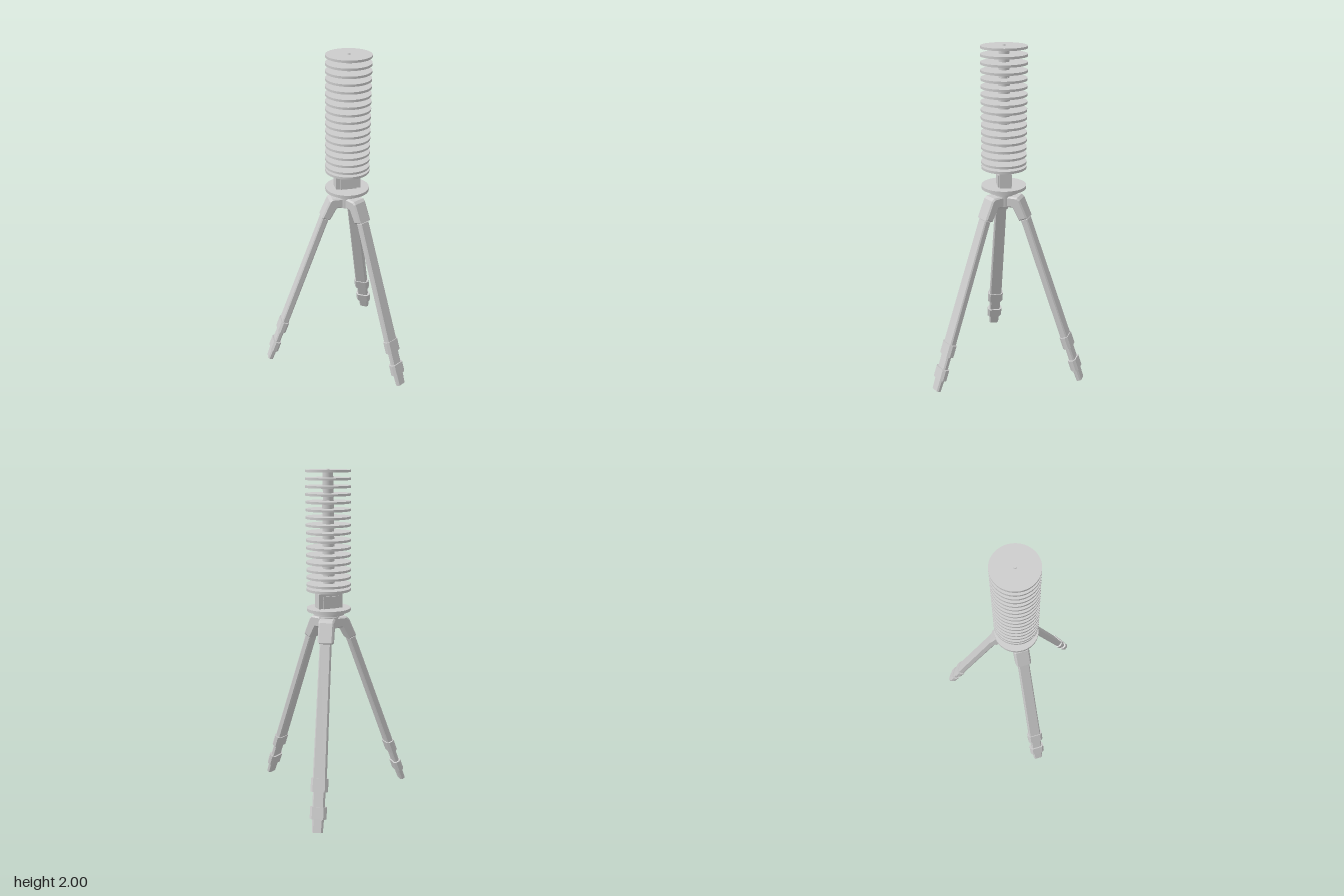
import * as THREE from 'three';

const grey = new THREE.MeshStandardMaterial({ color: 0xcccccc });
const AXIS_X = 0.115; // the mast stands off the origin

function add(parent, name, geometry, y = 0) {
  const mesh = new THREE.Mesh(geometry, grey);
  mesh.name = name;
  mesh.position.y = y;
  parent.add(mesh);
  return mesh;
}

// Upright disc or rod between two heights
function disc(parent, name, radius, y0, y1, sides = 48) {
  return add(parent, name, new THREE.CylinderGeometry(radius, radius, y1 - y0, sides), (y0 + y1) / 2);
}

// Bar with chamfered long edges; rises from y = 0 and may narrow towards the top
function bar(thick, wide, length, chamfer, topThick = 1, topWide = 1) {
  const a = thick / 2, b = wide / 2, c = chamfer;
  const shape = new THREE.Shape([
    [a, -b + c], [a, b - c], [a - c, b], [-a + c, b],
    [-a, b - c], [-a, -b + c], [-a + c, -b], [a - c, -b],
  ].map(([x, y]) => new THREE.Vector2(x, y)));
  const g = new THREE.ExtrudeGeometry(shape, { depth: length, bevelEnabled: false });
  g.rotateX(-Math.PI / 2);
  const p = g.attributes.position;
  for (let i = 0; i < p.count; i++) {
    const t = p.getY(i) / length;
    p.setX(i, p.getX(i) * (1 + (topThick - 1) * t));
    p.setZ(i, p.getZ(i) * (1 + (topWide - 1) * t));
  }
  g.computeVertexNormals();
  return g;
}

// One leg pointing along local +x
function makeLeg() {
  const leg = new THREE.Group();
  leg.name = 'leg';

  // Bent knuckle joining the leg to the hub
  const profile = new THREE.Shape([
    [0.02, 1.08], [0.07, 1.08], [0.112, 1.004], [0.162, 1.024],
    [0.114, 1.132], [0.098, 1.145], [0.02, 1.145],
  ].map(([x, y]) => new THREE.Vector2(x, y)));
  const knuckle = new THREE.ExtrudeGeometry(profile, {
    depth: 0.074, bevelThickness: 0.009, bevelSize: 0.008, bevelOffset: -0.008, bevelSegments: 1,
  });
  knuckle.translate(0, 0, -0.037);
  add(leg, 'knuckle', knuckle);

  // Sloping telescopic tube with two clamps and a foot
  const slope = new THREE.Group();
  slope.name = 'legTubes';
  slope.position.set(0.508, 0.006, 0);
  slope.rotation.z = 0.352;
  add(slope, 'foot', bar(0.032, 0.06, 0.09, 0.008, 1.1, 1.13));
  add(slope, 'lowerClamp', bar(0.05, 0.094, 0.068, 0.014), 0.076);
  add(slope, 'lowerTube', bar(0.034, 0.07, 0.1, 0.008), 0.135);
  add(slope, 'upperClamp', bar(0.052, 0.098, 0.075, 0.014), 0.228);
  add(slope, 'upperTube', bar(0.042, 0.078, 0.78, 0.007, 1, 0.86), 0.29);
  leg.add(slope);
  return leg;
}

export function createModel() {
  const model = new THREE.Group();
  model.name = 'sensorOnTripod';
  const body = new THREE.Group();
  body.name = 'body';
  body.position.x = AXIS_X;
  model.add(body);

  // Tripod
  for (const angle of [Math.PI, Math.PI / 3, -Math.PI / 3]) {
    const leg = makeLeg();
    leg.rotation.y = angle;
    body.add(leg);
  }
  disc(body, 'hub', 0.06, 1.083, 1.15, 24);
  disc(body, 'neck', 0.05, 1.145, 1.17, 24);
  disc(body, 'lowerPlate', 0.092, 1.162, 1.186);
  disc(body, 'upperPlate', 0.13, 1.184, 1.202);

  // Mounting block
  add(body, 'bracket', new THREE.BoxGeometry(0.148, 0.09, 0.066), 1.245);
  add(body, 'bracketCore', new THREE.BoxGeometry(0.096, 0.074, 0.082), 1.237);

  // Mast
  disc(body, 'connector', 0.018, 1.28, 1.36, 20);
  disc(body, 'lowerMast', 0.034, 1.345, 1.825, 32);
  disc(body, 'upperMast', 0.03, 1.825, 1.99, 32);
  disc(body, 'tip', 0.009, 1.98, 2.0, 16);

  // Stack of plates
  for (let i = 0; i < 16; i++) {
    const y = 1.989 - i * 0.0432;
    disc(body, 'stackPlate', 0.13, y - 0.0065, y + 0.0065);
  }
  disc(body, 'basePlate', 0.13, 1.305, 1.319);
  return model;
}
